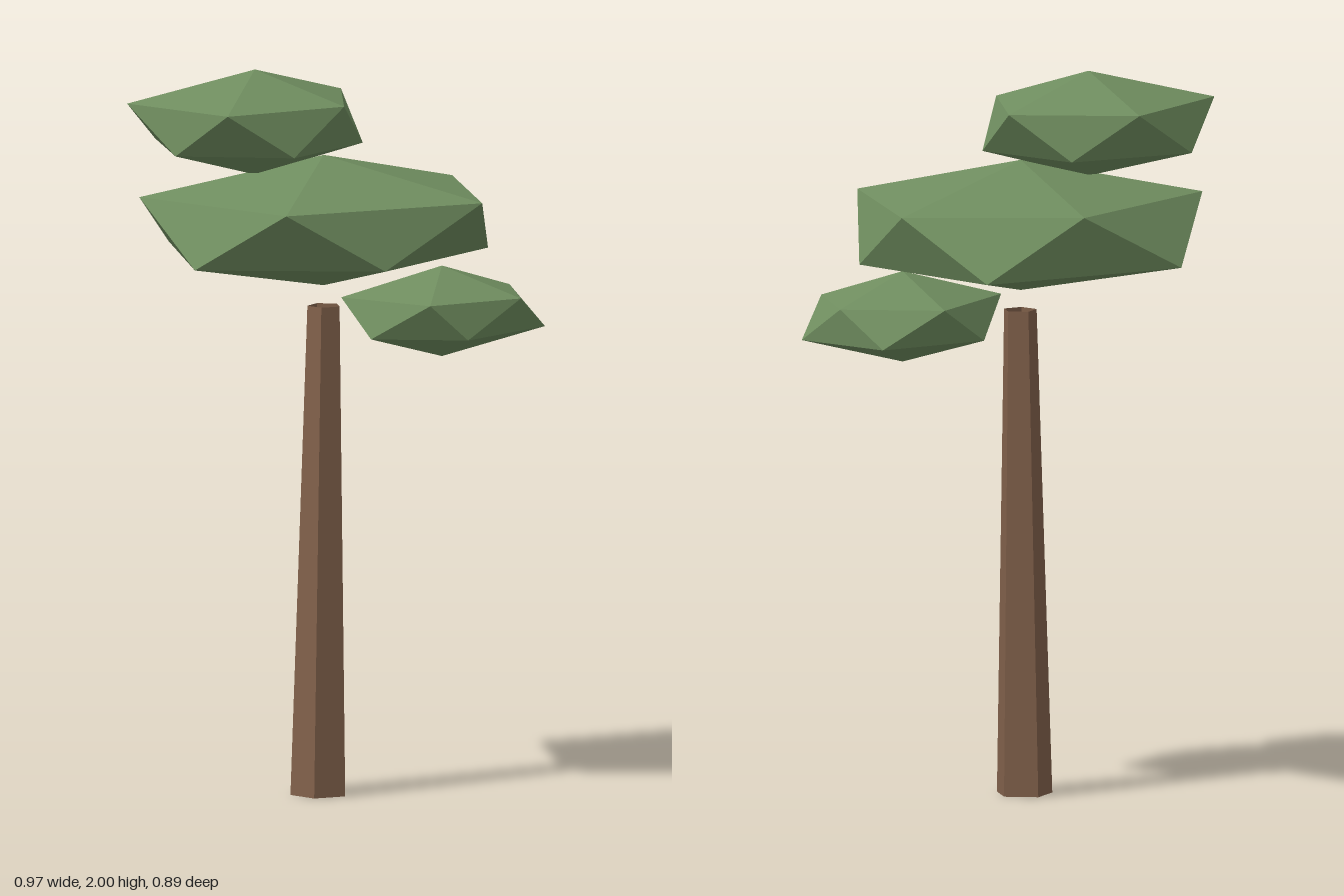
import * as THREE from 'three';

const foliageGreen = new THREE.MeshStandardMaterial({ color: 0x6f8d5f, flatShading: true });
const barkBrown = new THREE.MeshStandardMaterial({ color: 0x80604a, flatShading: true, side: THREE.DoubleSide });

// Faceted leaf clump: two five-point rings [x, z] between a top and a bottom apex
function leafClump(name, { centre: [cx, cz], heights: [top, high, low, bottom], upper, lower }) {
  const at = (ring, y, i) => [ring[i % 5][0], y, ring[i % 5][1]];
  const tip = [cx, top, cz], base = [cx, bottom, cz];
  const points = [];
  for (let i = 0; i < 5; i++) {
    const u0 = at(upper, high, i), u1 = at(upper, high, i + 1);
    const l0 = at(lower, low, i), l1 = at(lower, low, i + 1);
    points.push(tip, u0, u1, u0, l0, u1, l0, l1, u1, base, l1, l0);
  }
  const geometry = new THREE.BufferGeometry();
  geometry.setAttribute('position', new THREE.Float32BufferAttribute(points.flat(), 3));
  geometry.computeVertexNormals();
  const mesh = new THREE.Mesh(geometry, foliageGreen);
  mesh.name = name;
  return mesh;
}

// Five-sided tapering trunk, open at the ends, with a slight lean
function trunk() {
  const height = 1.345;
  const geometry = new THREE.CylinderGeometry(0.047, 0.08, height, 5, 1, true, Math.PI / 2);
  geometry.translate(0, height / 2, 0);
  const p = geometry.attributes.position;
  for (let i = 0; i < p.count; i++) {
    const t = p.getY(i) / height;
    p.setX(i, p.getX(i) - 0.04 + 0.038 * t);
    p.setZ(i, p.getZ(i) + 0.025 - 0.02 * t);
  }
  const flat = geometry.toNonIndexed();
  flat.computeVertexNormals();
  const mesh = new THREE.Mesh(flat, barkBrown);
  mesh.name = 'trunk';
  return mesh;
}

export function createModel() {
  const tree = new THREE.Group();
  tree.name = 'tree';
  tree.add(
    trunk(),
    leafClump('topFoliage', {
      centre: [-0.155, -0.11],
      heights: [2.0, 1.915, 1.79, 1.71],
      upper: [[0.17, -0.11], [-0.055, -0.388], [-0.452, -0.305], [-0.425, 0.065], [-0.063, 0.147]],
      lower: [[0.085, -0.265], [-0.26, -0.395], [-0.455, -0.11], [-0.245, 0.14], [0.095, 0.055]],
    }),
    leafClump('middleFoliage', {
      centre: [0, 0],
      heights: [1.76, 1.655, 1.49, 1.4],
      upper: [[0.485, 0], [0.15, -0.37], [-0.42, -0.29], [-0.38, 0.25], [0.178, 0.441]],
      lower: [[0.425, -0.26], [-0.157, -0.45], [-0.487, 0], [-0.127, 0.377], [0.39, 0.242]],
    }),
    leafClump('lowerFoliage', {
      centre: [0.23, 0.227],
      heights: [1.455, 1.378, 1.278, 1.205],
      upper: [[0.485, 0.227], [0.31, 0.0], [-0.02, 0.09], [0.04, 0.38], [0.32, 0.445]],
      lower: [[0.468, 0.085], [0.155, -0.005], [-0.038, 0.227], [0.14, 0.425], [0.48, 0.373]],
    }),
  );
  return tree;
}
